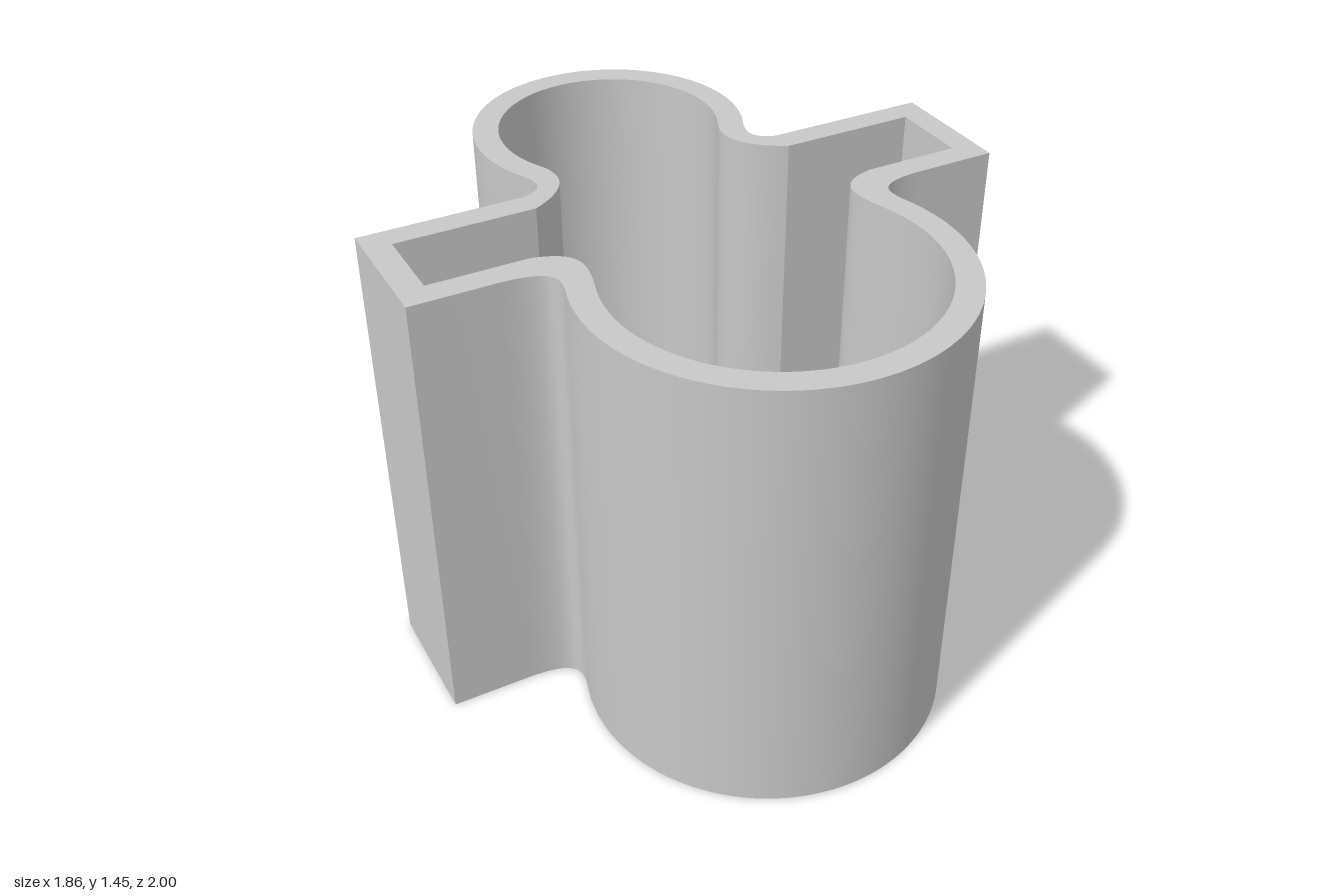
import * as THREE from 'three';
import { toCreasedNormals } from 'three/addons/utils/BufferGeometryUtils.js';

const HEIGHT = 1.452, FLOOR = 0.08;
const BACK_Z = -0.577, FRONT_Z = 0.44;

// Points on an arc about (0, cz); t is measured in degrees from the back (-z)
function arc(cz, r, from, to, n = 36) {
  return Array.from({ length: n + 1 }, (_, i) => {
    const t = THREE.MathUtils.degToRad(from + (to - from) * i / n);
    return new THREE.Vector2(r * Math.sin(t), cz - r * Math.cos(t));
  });
}

// Fillet curve from a to b, without its end points
function fillet(a, c1, c2, b) {
  return new THREE.CubicBezierCurve(a, new THREE.Vector2(...c1), new THREE.Vector2(...c2), b)
    .getPoints(24).slice(1, -1);
}

// Closed outline: back lobe, side arm and front lobe, mirrored across x = 0
function outline(o) {
  const back = arc(BACK_Z, o.backR, 0, o.backEnd);
  const front = arc(FRONT_Z, o.frontR, o.frontStart, 180);
  const armBack = new THREE.Vector2(o.armBackX, o.armZ[0]);
  const armFront = new THREE.Vector2(o.armFrontX, o.armZ[1]);
  const half = [
    ...back,
    ...fillet(back[back.length - 1], ...o.backFillet, armBack),
    armBack,
    new THREE.Vector2(o.armX, o.armZ[0]),
    new THREE.Vector2(o.armX, o.armZ[1]),
    armFront,
    ...fillet(armFront, ...o.frontFillet, front[0]),
    ...front,
  ];
  const mirrored = half.slice(1, -1).reverse().map(p => new THREE.Vector2(-p.x, p.y));
  // shape y is -z, so that the extrusion can be stood upright;
  // counter-clockwise order makes hole walls face into the hole
  return [...half, ...mirrored].map(p => new THREE.Vector2(p.x, -p.y)).reverse();
}

function extrudeUp(shape, depth) {
  const g = new THREE.ExtrudeGeometry(shape, { depth, bevelEnabled: false });
  g.rotateX(-Math.PI / 2);
  return toCreasedNormals(g, 0.25);
}

export function createModel() {
  const grey = new THREE.MeshStandardMaterial({ color: 0xc8c8c8 });
  grey.name = 'grey';

  const outer = outline({
    backR: 0.423, backEnd: 114, backFillet: [[0.35, -0.335], [0.34, -0.285]], armBackX: 0.42,
    armX: 0.93, armZ: [-0.26, 0.15],
    armFrontX: 0.67, frontFillet: [[0.52, 0.155], [0.515, 0.2]], frontR: 0.56, frontStart: 72.5,
  });
  const inner = outline({
    backR: 0.343, backEnd: 118, backFillet: [[0.265, -0.34], [0.28, -0.25]], armBackX: 0.42,
    armX: 0.85, armZ: [-0.18, 0.07],
    armFrontX: 0.55, frontFillet: [[0.4, 0.1], [0.423, 0.18]], frontR: 0.48, frontStart: 73,
  });

  const model = new THREE.Group();
  model.name = 'container';

  // Wall with the cavity cut through
  const ring = new THREE.Shape(outer);
  ring.holes.push(new THREE.Path(inner));
  const wall = new THREE.Mesh(extrudeUp(ring, HEIGHT), grey);
  wall.name = 'wall';

  // Floor closing the cavity
  const floor = new THREE.Mesh(extrudeUp(new THREE.Shape(inner), FLOOR), grey);
  floor.name = 'floor';

  model.add(wall, floor);
  return model;
}
